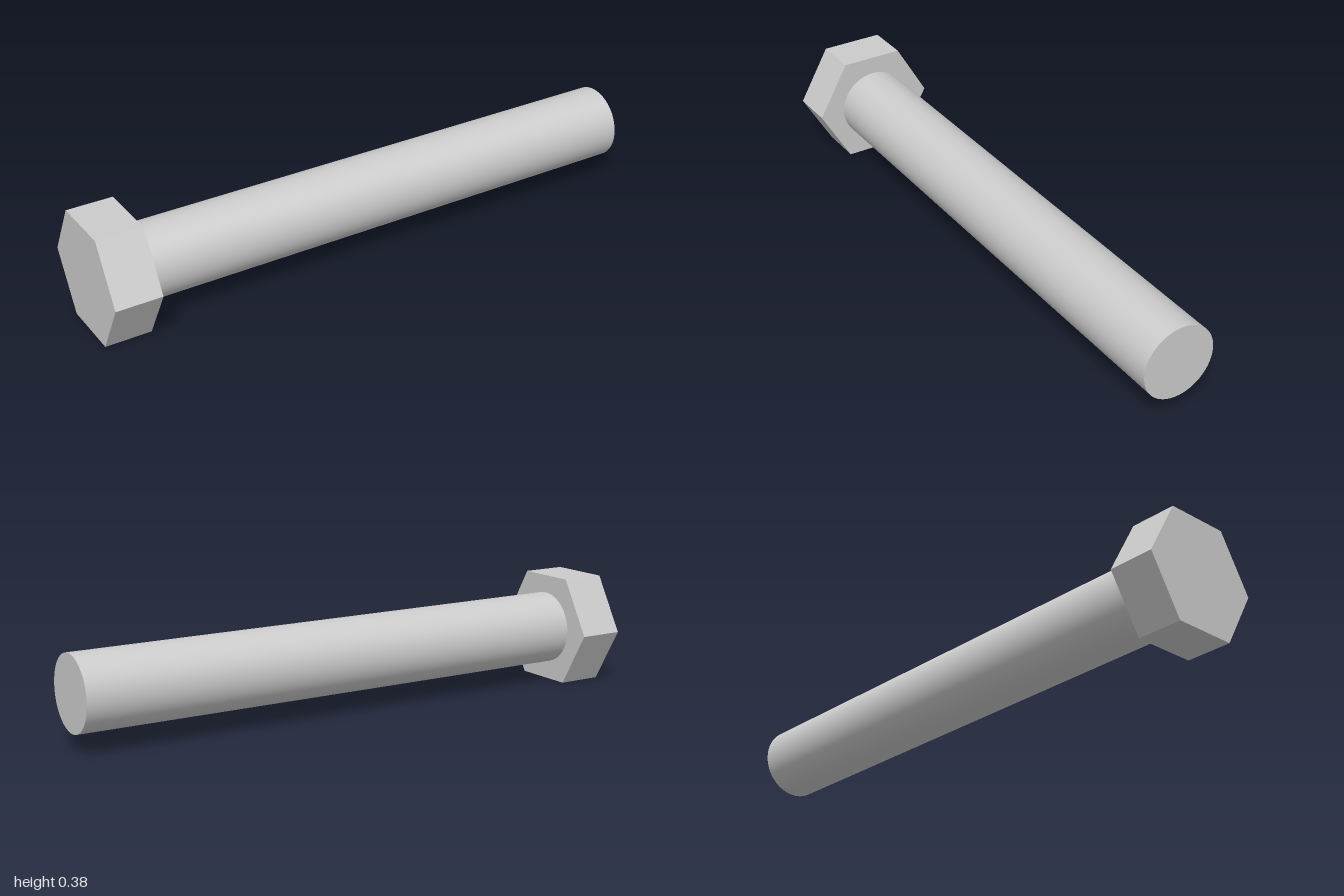
import * as THREE from 'three';

const HEX_RADIUS = 0.218;                            // centre to corner
const AXIS_Y = HEX_RADIUS * Math.cos(Math.PI / 6);   // head rests on a flat
const HEAD_START = -1, HEAD_END = -0.843, TIP = 1;
const SHANK_RADIUS = 0.126;

// Closed cylinder lying along x from x0 to x1
function rodAlongX(name, radius, x0, x1, sides, flatShading) {
  const geometry = new THREE.CylinderGeometry(radius, radius, x1 - x0, sides);
  geometry.rotateZ(-Math.PI / 2);
  const material = new THREE.MeshStandardMaterial({ color: 0xcccccc, flatShading });
  const mesh = new THREE.Mesh(geometry, material);
  mesh.name = name;
  mesh.position.set((x0 + x1) / 2, AXIS_Y, 0);
  return mesh;
}

export function createModel() {
  const bolt = new THREE.Group();
  bolt.name = 'hexBolt';

  // Six-sided head with corners pointing to +z and -z
  bolt.add(rodAlongX('head', HEX_RADIUS, HEAD_START, HEAD_END, 6, true));

  // Smooth round shank
  bolt.add(rodAlongX('shank', SHANK_RADIUS, HEAD_END, TIP, 96, false));

  return bolt;
}
